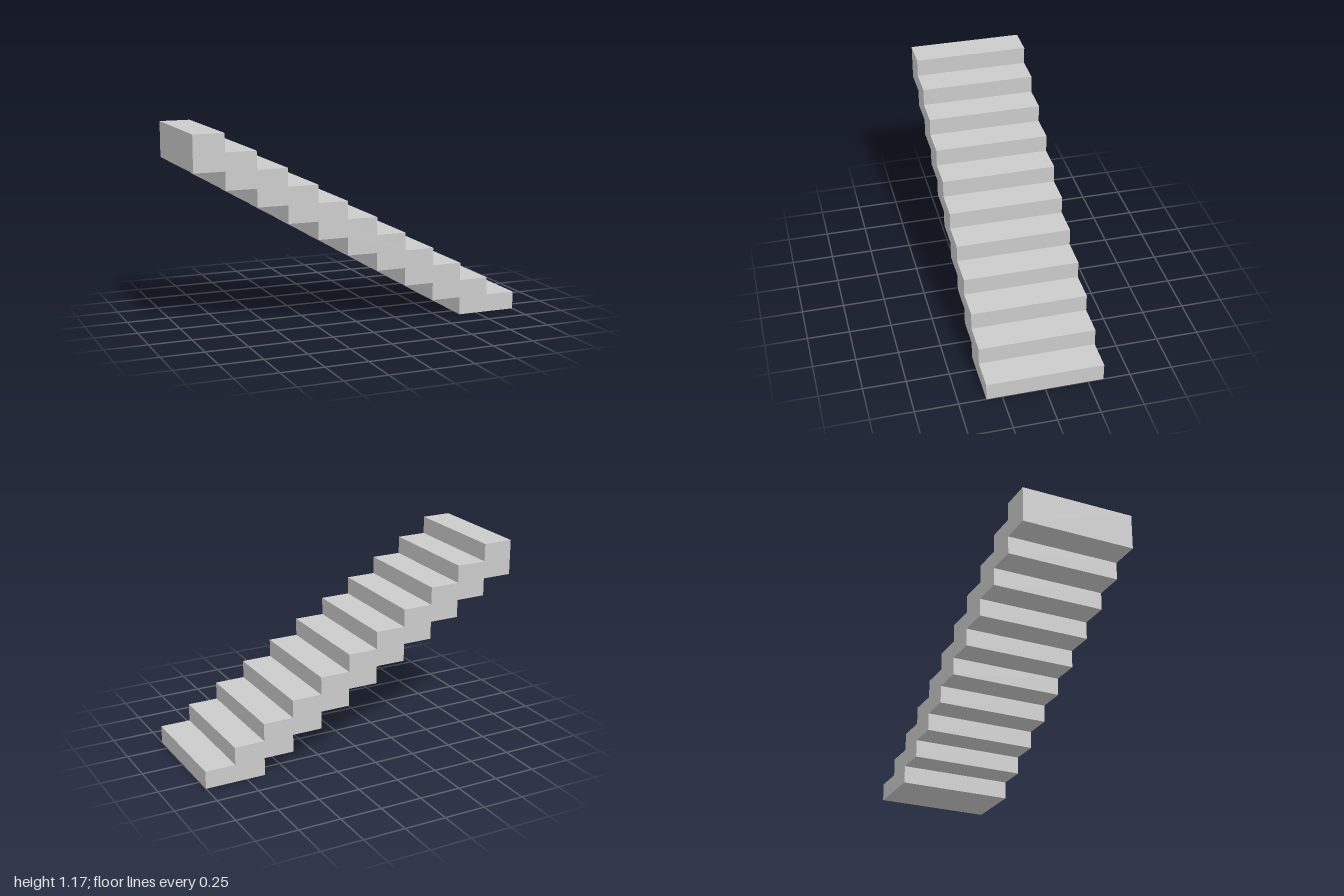
import * as THREE from 'three';

const STEPS = 11;
const RUN = 2 / STEPS;
const RISE = 1.167 / STEPS;
const WIDTH = 0.684;

// Side outline: treads and risers going up, then the stepped underside coming down
function stairOutline() {
  const shape = new THREE.Shape();
  shape.moveTo(1, 0);
  for (let i = 0; i < STEPS; i++) {
    shape.lineTo(1 - i * RUN, (i + 1) * RISE);
    shape.lineTo(1 - (i + 1) * RUN, (i + 1) * RISE);
  }
  for (let i = STEPS - 1; i >= 1; i--) {
    shape.lineTo(1 - (i + 1) * RUN, (i - 1) * RISE);
    if (i > 1) shape.lineTo(1 - i * RUN, (i - 1) * RISE);
  }
  shape.closePath();
  return shape;
}

export function createModel() {
  const group = new THREE.Group();
  group.name = 'staircase';

  // Solid flight, extruded across its width
  const geometry = new THREE.ExtrudeGeometry(stairOutline(), { depth: WIDTH, bevelEnabled: false });
  geometry.translate(0, 0, -WIDTH / 2);
  const material = new THREE.MeshStandardMaterial({ color: 0xcccccc, flatShading: true });
  const flight = new THREE.Mesh(geometry, material);
  flight.name = 'stairFlight';
  group.add(flight);

  return group;
}
